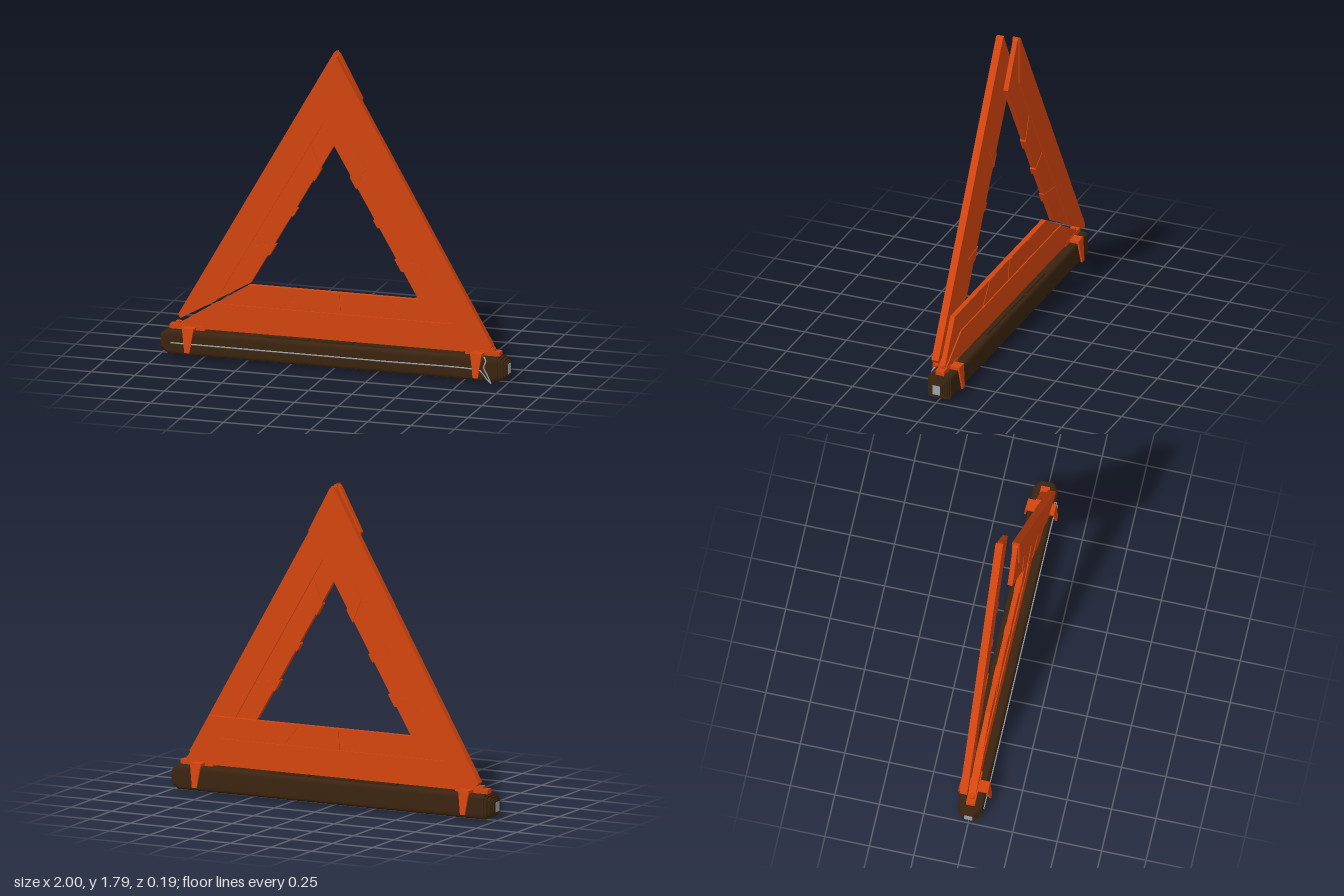
import * as THREE from 'three';

const orange = new THREE.MeshStandardMaterial({ color: 0xd4450f });
const brown = new THREE.MeshStandardMaterial({ color: 0x3b2410 });
const grey = new THREE.MeshStandardMaterial({ color: 0x9aa3aa });

function add(parent, name, geometry, material) {
  const mesh = new THREE.Mesh(geometry, material);
  mesh.name = name;
  parent.add(mesh);
  return mesh;
}

// Flat plate from an outline, centred on z = 0
function slab(points, thickness) {
  const shape = new THREE.Shape(points.map(([x, y]) => new THREE.Vector2(x, y)));
  const g = new THREE.ExtrudeGeometry(shape, { depth: thickness, bevelEnabled: false });
  return g.translate(0, 0, -thickness / 2);
}

// Bar along x with a rounded square section
function roundedBar(size, length) {
  const h = size / 2, r = size * 0.2, s = new THREE.Shape();
  s.moveTo(-h + r, -h);
  s.lineTo(h - r, -h).quadraticCurveTo(h, -h, h, -h + r);
  s.lineTo(h, h - r).quadraticCurveTo(h, h, h - r, h);
  s.lineTo(-h + r, h).quadraticCurveTo(-h, h, -h, h - r);
  s.lineTo(-h, -h + r).quadraticCurveTo(-h, -h, -h + r, -h);
  const g = new THREE.ExtrudeGeometry(s, { depth: length, bevelEnabled: false, curveSegments: 5 });
  return g.translate(0, 0, -length / 2).rotateY(Math.PI / 2);
}

const mirrorX = (points) => points.map(([x, y]) => [-x, y]);

// One side of the triangle: thin plate, thick outer border, ribs on the inner strip
function member(name, plate, border, z, angle) {
  const group = new THREE.Group();
  group.name = name;
  group.position.z = z;
  add(group, 'plate', slab(plate, 0.028), orange);
  add(group, 'outerBorder', slab(border, 0.042), orange);
  const slanted = [[-0.39, 0.31], [-0.31, 0.31], [-0.22, 0.425], [-0.295, 0.425]];
  const straight = [[-0.03, 0.31], [0.03, 0.31], [0.025, 0.425], [-0.025, 0.425]];
  const ribs = new THREE.Group();
  ribs.name = 'ribs';
  for (const outline of [slanted, straight, mirrorX(slanted)]) {
    const g = slab(outline, 0.034).translate(0, -0.708, 0).rotateZ(angle).translate(0, 0.708, 0);
    add(ribs, 'rib', g, orange);
  }
  group.add(ribs);
  return group;
}

export function createModel() {
  const model = new THREE.Group();
  model.name = 'warningTriangle';

  // Three overlapping sides, each in its own layer
  const armPlate = [[0.01, 1.79], [0.915, 0.215], [0.905, 0.195], [0.5, 0.43], [-0.14, 1.53], [-0.01, 1.775]];
  const armBorder = [[0.005, 1.79], [0.02, 1.785], [0.918, 0.215], [0.905, 0.195], [0.7, 0.31], [0.005, 1.51]];
  const basePlate = [[-0.93, 0.155], [-0.495, 0.428], [0.775, 0.428], [0.93, 0.155]];
  const baseBorder = [[-0.93, 0.155], [-0.69, 0.308], [0.7, 0.308], [0.93, 0.16]];
  const turn = Math.PI * 2 / 3;
  model.add(member('leftArm', armPlate, armBorder, 0.042, turn));
  model.add(member('rightArm', mirrorX(armPlate), mirrorX(armBorder), -0.046, -turn));
  model.add(member('crossPanel', basePlate, baseBorder, -0.002, 0));

  // Base bar with stepped ends
  const bar = new THREE.Group();
  bar.name = 'baseBar';
  bar.position.y = 0.078;
  for (const [size, length] of [[0.138, 1.9], [0.124, 1.93], [0.108, 1.96], [0.09, 1.98], [0.074, 1.996]])
    add(bar, 'barStep', roundedBar(size, length), brown);
  add(bar, 'endPlug', new THREE.BoxGeometry(2, 0.055, 0.045), grey);
  for (const [x, w] of [[-0.27, 0.25], [0, 0.22], [0.27, 0.25]])
    add(bar, 'topPad', new THREE.BoxGeometry(w, 0.014, 0.1), brown).position.set(x, 0.07, 0);
  model.add(bar);

  // Clips straddling the bar at both ends
  for (const side of [-1, 1]) {
    const clip = new THREE.Group();
    clip.name = side > 0 ? 'leftClip' : 'rightClip';
    clip.position.x = side * 0.83;
    add(clip, 'clipBridge', new THREE.BoxGeometry(0.066, 0.016, 0.15), orange).position.y = 0.158;
    for (const face of [-1, 1]) {
      const leg = add(clip, 'clipLeg',
        slab([[-0.033, 0], [-0.014, -0.135], [0.014, -0.135], [0.033, 0]], 0.01), orange);
      leg.position.set(0, 0.166, face * 0.074);
      leg.rotation.x = -face * 0.11;
    }
    add(clip, 'pivotBlock', new THREE.BoxGeometry(0.2, 0.026, 0.05), orange).position.set(side * 0.02, 0.159, 0);
    add(clip, 'pivotPin', new THREE.CylinderGeometry(0.017, 0.017, 0.036, 12), orange)
      .position.set(side * 0.075, 0.17, 0);
    model.add(clip);
  }

  // Thin wire along the front of the bar, bent down at one end
  const wirePath = new THREE.CatmullRomCurve3([
    [-0.93, 0.078, 0.071], [-0.4, 0.078, 0.072], [0.3, 0.078, 0.072], [0.8, 0.078, 0.073],
    [0.86, 0.07, 0.076], [0.885, 0.035, 0.077], [0.915, 0.004, 0.072],
  ].map((p) => new THREE.Vector3(...p)), false, 'centripetal');
  add(model, 'wire', new THREE.TubeGeometry(wirePath, 60, 0.004, 6), grey);
  const hook = new THREE.CatmullRomCurve3([
    [0.87, 0.15, 0.06], [0.885, 0.13, 0.073], [0.875, 0.09, 0.075], [0.895, 0.05, 0.075], [0.915, 0.004, 0.072],
  ].map((p) => new THREE.Vector3(...p)));
  add(model, 'wireHook', new THREE.TubeGeometry(hook, 24, 0.004, 6), grey);

  return model;
}
